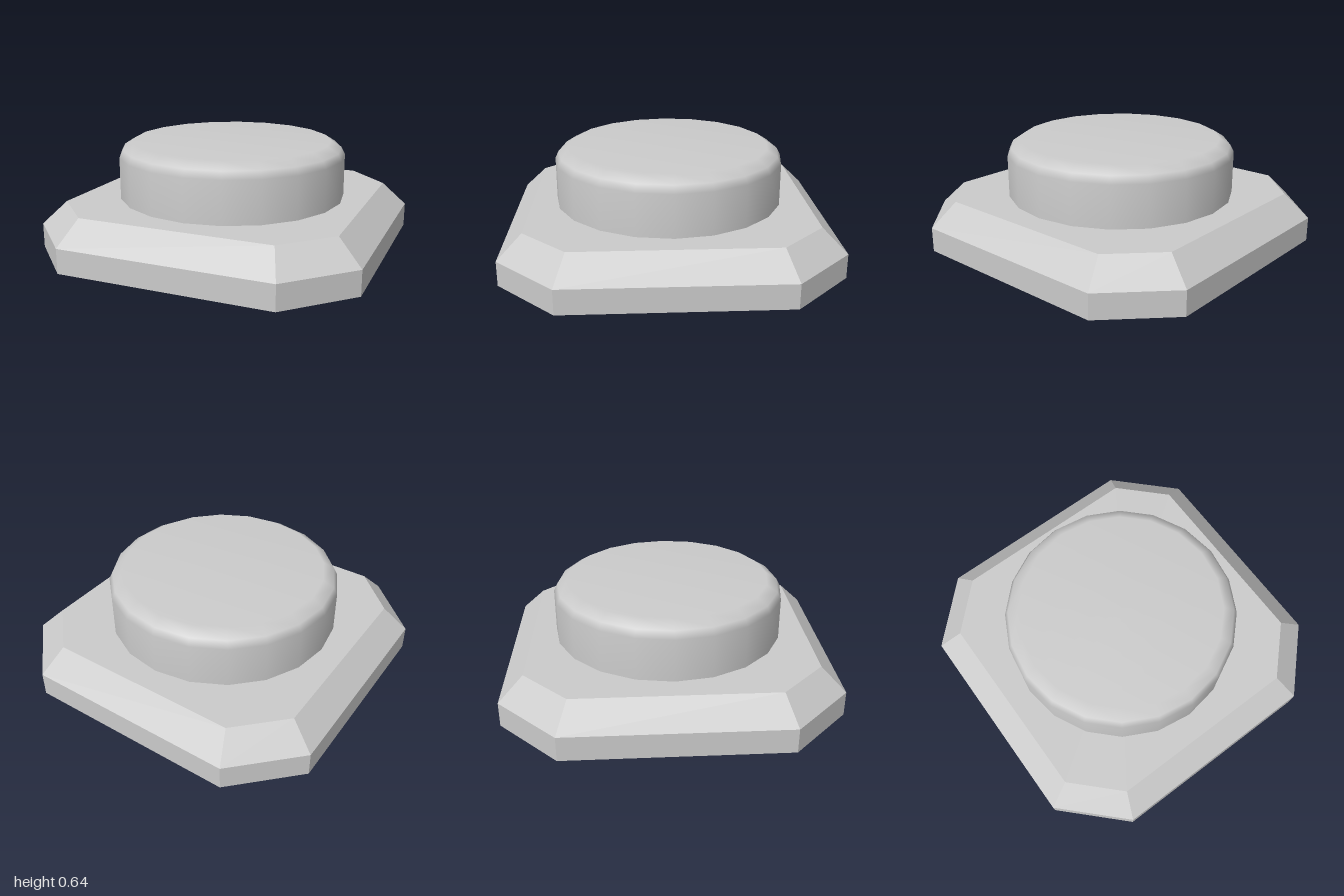
import * as THREE from 'three';

// Corners of a square with cut corners: half width e, half flat length c, height y
function octagon(e, c, y) {
  return [[c, e], [e, c], [e, -c], [c, -e], [-c, -e], [-e, -c], [-e, c], [-c, e]]
    .map(([x, z]) => [x, y, z]);
}

// Flat-faced solid through a stack of rings, closed at both ends
function stackRings(rings) {
  const pos = [];
  const tri = (...corners) => corners.forEach((p) => pos.push(...p));
  const first = rings[0], last = rings[rings.length - 1];
  const n = first.length;
  for (let i = 0; i < n; i++) {
    const j = (i + 1) % n;
    for (let k = 0; k < rings.length - 1; k++) {
      const lo = rings[k], hi = rings[k + 1];
      tri(lo[i], lo[j], hi[j]);
      tri(lo[i], hi[j], hi[i]);
    }
    tri([0, first[0][1], 0], first[j], first[i]);
    tri([0, last[0][1], 0], last[i], last[j]);
  }
  const geometry = new THREE.BufferGeometry();
  geometry.setAttribute('position', new THREE.Float32BufferAttribute(pos, 3));
  geometry.computeVertexNormals();
  return geometry;
}

export function createModel() {
  const group = new THREE.Group();
  group.name = 'pushButton';

  // Base plate with cut corners and a bevelled upper edge
  const base = new THREE.Mesh(
    stackRings([octagon(1, 0.65, 0), octagon(1, 0.65, 0.15), octagon(0.855, 0.59, 0.295)]),
    new THREE.MeshStandardMaterial({ color: 0xcccccc, flatShading: true })
  );
  base.name = 'basePlate';
  group.add(base);

  // Round button with a softened rim
  const profile = [[0.71, 0.295], [0.71, 0.555], [0.687, 0.6], [0.62, 0.642], [0, 0.642]]
    .map(([r, y]) => new THREE.Vector2(r, y));
  const button = new THREE.Mesh(
    new THREE.LatheGeometry(profile, 20),
    new THREE.MeshStandardMaterial({ color: 0xcccccc })
  );
  button.name = 'button';
  group.add(button);

  return group;
}
